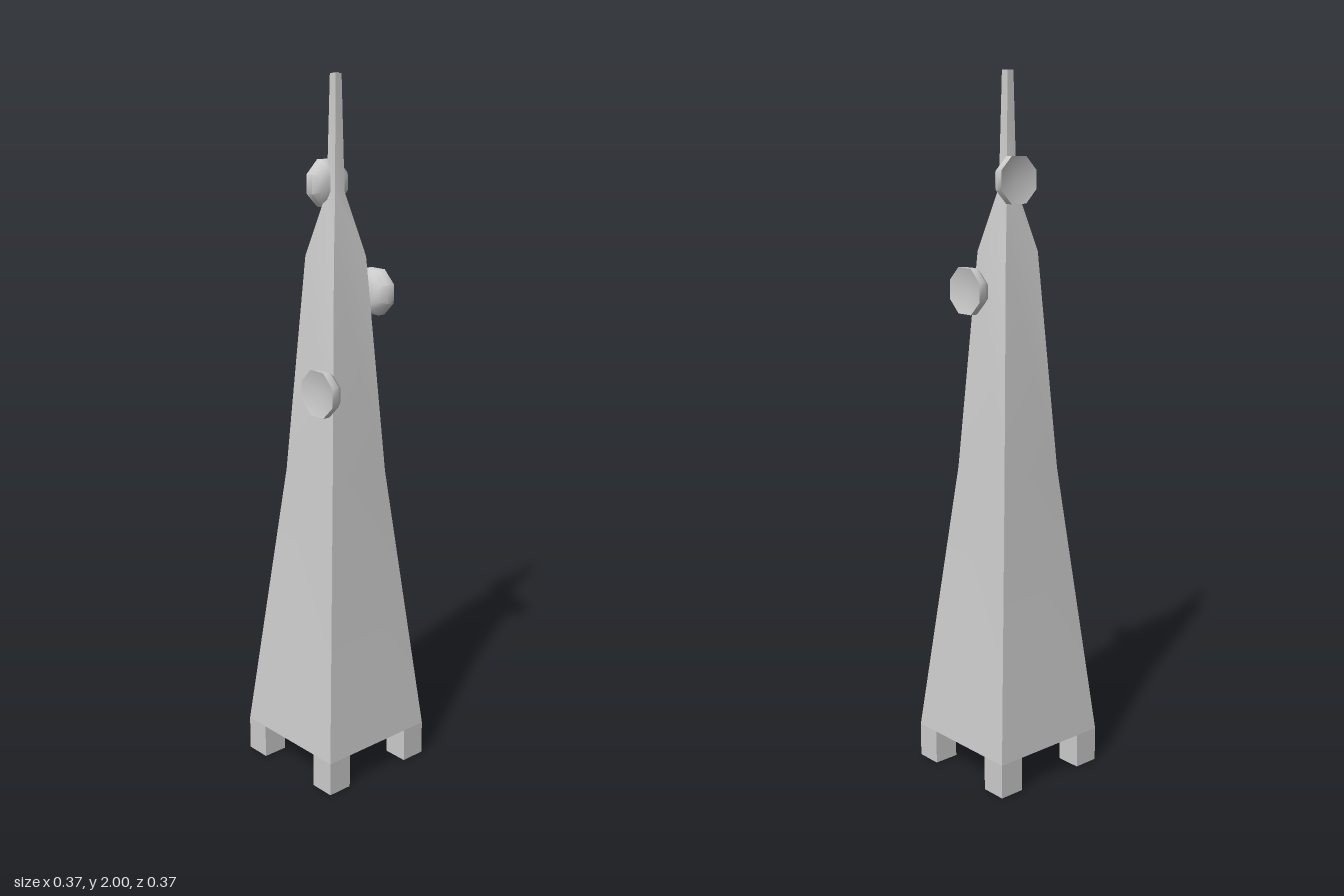
import * as THREE from 'three';
import { toCreasedNormals } from 'three/addons/utils/BufferGeometryUtils.js';

const grey = new THREE.MeshStandardMaterial({ color: 0xcccccc, side: THREE.DoubleSide });
const greyFlat = new THREE.MeshStandardMaterial({ color: 0xcccccc, side: THREE.DoubleSide, flatShading: true });

const BASE = 0.185; // half width of the base
const GAP = 0.11; // half width of the opening between the feet
const FOOT_H = 0.1;

function lathe(points, sides, crease) {
  const geometry = new THREE.LatheGeometry(points.map(([r, y]) => new THREE.Vector2(r, y)), sides);
  geometry.rotateY(Math.PI / sides);
  return toCreasedNormals(geometry, crease);
}

function addMesh(parent, name, geometry, material) {
  const mesh = new THREE.Mesh(geometry, material);
  mesh.name = name;
  parent.add(mesh);
  return mesh;
}

export function createModel() {
  const model = new THREE.Group();
  model.name = 'radioTower';

  // Square tapering tower ending in a thin mast: [half width, height]
  const sections = [[BASE, FOOT_H], [0.1, 0.9], [0.059, 1.515], [0.017, 1.69], [0.011, 2], [0, 2]];
  const tower = lathe(sections.map(([h, y]) => [h * Math.SQRT2, y]), 4, Math.PI / 6);
  addMesh(model, 'tower', tower, grey);

  // Cross-shaped underside between the feet
  const cross = new THREE.Shape();
  for (let i = 0; i < 4; i++) {
    const turn = new THREE.Vector2();
    const origin = new THREE.Vector2();
    [[BASE, -GAP], [BASE, GAP], [GAP, GAP]].forEach(([x, y], j) => {
      turn.set(x, y).rotateAround(origin, i * Math.PI / 2);
      if (i === 0 && j === 0) cross.moveTo(turn.x, turn.y);
      else cross.lineTo(turn.x, turn.y);
    });
  }
  const underside = addMesh(model, 'underside', new THREE.ShapeGeometry(cross).rotateX(Math.PI / 2), greyFlat);
  underside.position.y = FOOT_H;

  // Four hollow square feet, open at the bottom
  const footRadius = (BASE - GAP) / Math.SQRT2;
  const footGeometry = new THREE.CylinderGeometry(footRadius, footRadius, FOOT_H, 4, 1, true, Math.PI / 4);
  const footCentre = (BASE + GAP) / 2;
  for (const sx of [-1, 1]) {
    for (const sz of [-1, 1]) {
      const name = (sz > 0 ? 'front' : 'back') + (sx > 0 ? 'Left' : 'Right') + 'Foot';
      addMesh(model, name, footGeometry, greyFlat).position.set(sx * footCentre, FOOT_H / 2, sz * footCentre);
    }
  }

  // Octagonal dishes with a shallow hollow face, facing +z before turning
  const dishProfile = [[0, -0.053], [0.035, -0.05], [0.052, -0.043], [0.069, -0.022], [0.069, 0], [0, -0.018]];
  const dishGeometry = lathe(dishProfile, 8, Math.PI / 3.5).rotateX(Math.PI / 2);
  const dishes = [
    ['frontDish', 0.07, 1.16, 0.131, 0],
    ['backDish', 0.041, 1.41, -0.122, Math.PI],
    ['sideDish', -0.053, 1.71, -0.006, -Math.PI / 2],
  ];
  for (const [name, x, y, z, turn] of dishes) {
    const dish = addMesh(model, name, dishGeometry, grey);
    dish.position.set(x, y, z);
    dish.rotation.y = turn;
  }

  return model;
}
